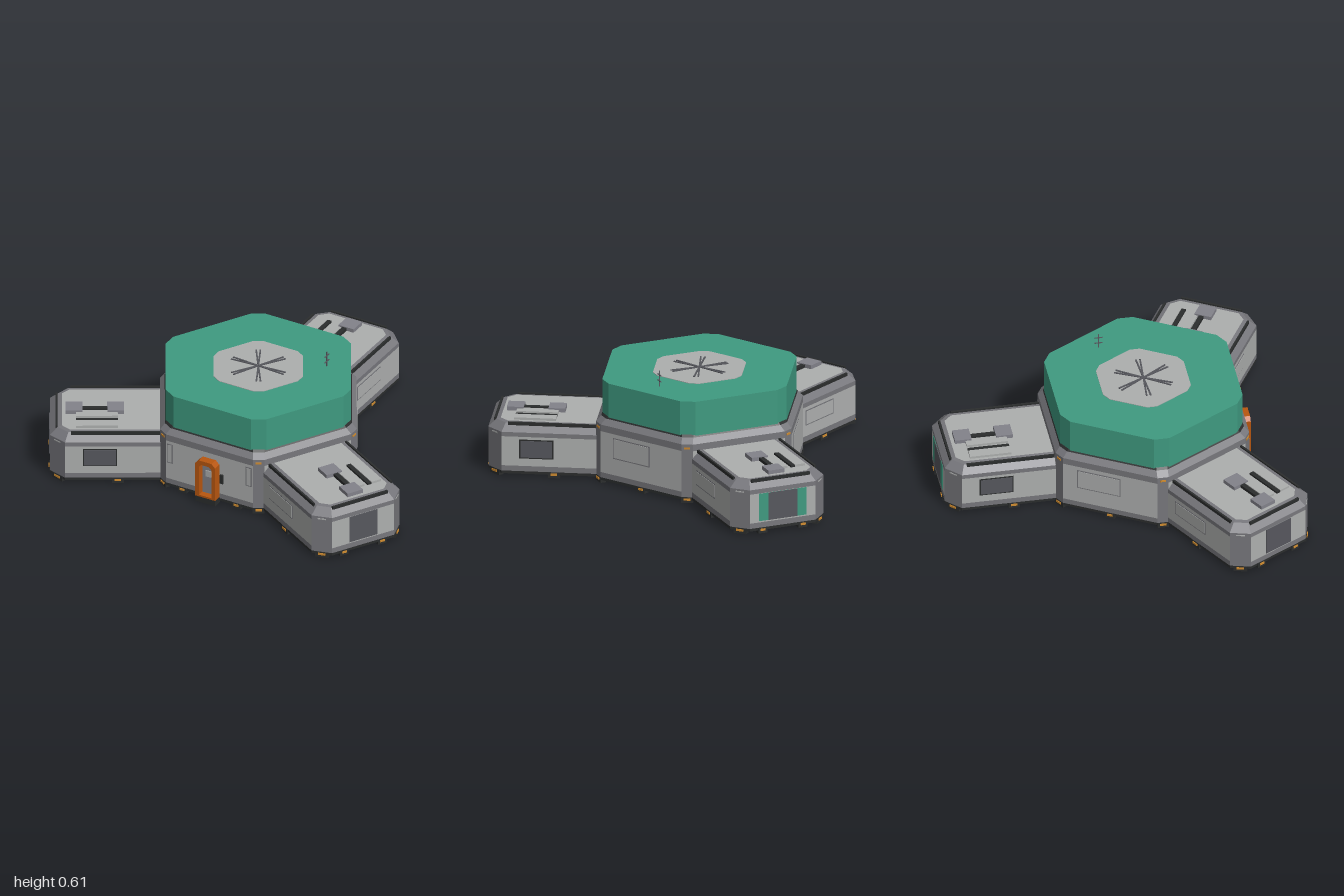
import * as THREE from 'three';

const paint = (name, color) => {
  const m = new THREE.MeshStandardMaterial({ color, flatShading: true });
  m.name = name;
  return m;
};
const M = {
  green: paint('green', 0x3f9a80),
  wall: paint('light grey', 0xadafae),
  frame: paint('frame grey', 0x77777c),
  unit: paint('unit grey', 0x82828a),
  glass: paint('dark glass', 0x56575d),
  black: paint('black', 0x2b2d2d),
  orange: paint('orange', 0xb8560f),
  amber: paint('amber', 0xd08c30),
};
const RAD = Math.PI / 180;

function add(parent, name, mat, geo) {
  const mesh = new THREE.Mesh(geo, mat);
  mesh.name = name;
  parent.add(mesh);
  return mesh;
}

function box(parent, name, mat, size, pos) {
  const mesh = add(parent, name, mat, new THREE.BoxGeometry(...size));
  mesh.position.set(...pos);
  return mesh;
}

// Box facing outward at an angle around the parent's centre, slid sideways by t
function facing(parent, name, mat, size, angle, dist, t, y) {
  const c = Math.cos(angle * RAD), s = Math.sin(angle * RAD);
  const mesh = box(parent, name, mat, size, [c * dist - s * t, y, s * dist + c * t]);
  mesh.rotation.y = Math.PI / 2 - angle * RAD;
  return mesh;
}

function soup(points) {
  const geo = new THREE.BufferGeometry();
  geo.setAttribute('position', new THREE.Float32BufferAttribute(points.flat(), 3));
  geo.computeVertexNormals();
  return geo;
}

// Strip of faces between two outlines; pick chooses which edges are built
function band(parent, name, mat, low, y0, high, y1, pick = () => true) {
  const tris = [];
  low.forEach((p, i) => {
    if (!pick(i)) return;
    const j = (i + 1) % low.length;
    const a = [p[0], y0, p[1]], b = [high[i][0], y1, high[i][1]];
    const c = [high[j][0], y1, high[j][1]], d = [low[j][0], y0, low[j][1]];
    tris.push(a, b, c, a, c, d);
  });
  add(parent, name, mat, soup(tris));
}

// Flat lid over a convex outline
function cap(parent, name, mat, pts, y, up) {
  const tris = [];
  for (let i = 1; i < pts.length - 1; i++) {
    const [j, k] = up ? [i + 1, i] : [i, i + 1];
    for (const q of [0, j, k]) tris.push([pts[q][0], y, pts[q][1]]);
  }
  add(parent, name, mat, soup(tris));
}

// Hexagon with trimmed corners, flat sides to front and back
function hexOutline(apothem, cut) {
  const pts = [], half = apothem / Math.sqrt(3) - cut;
  for (let k = 0; k < 6; k++) {
    const a = (30 + k * 60) * RAD, c = Math.cos(a), s = Math.sin(a);
    for (const t of [-half, half]) pts.push([c * apothem - s * t, s * apothem + c * t]);
  }
  return pts;
}

// Wing footprint with trimmed outer corners, running toward -z
function wingOutline(inset) {
  const w = 0.255 - inset, e = 1.045 - inset, c = 0.075 - inset * 0.586, s = -0.47;
  return [[-w, s], [-w, c - e], [c - w, -e], [w - c, -e], [w, c - e], [w, s]];
}

// Base, skirt and wall shared by the hub and the wings
function hull(g, outline, floorY, wallTop, rimTop, isCorner) {
  const out = outline(0), tucked = outline(0.018);
  cap(g, 'floor', M.green, tucked, floorY, false);
  band(g, 'baseEdge', M.black, tucked, floorY, out, 0.016);
  band(g, 'base', M.black, out, 0.016, out, 0.03);
  band(g, 'skirt', M.frame, out, 0.03, out, 0.058);
  band(g, 'wall', M.wall, out, 0.058, out, wallTop, i => !isCorner(i));
  band(g, 'cornerPost', M.frame, out, 0.058, out, wallTop, isCorner);
  band(g, 'rim', M.frame, out, wallTop, out, rimTop);
}

function clamp(g, angle, dist, t, width) {
  facing(g, 'baseClamp', M.black, [width, 0.03, 0.03], angle, dist - 0.012, t, 0.015);
  facing(g, 'baseLight', M.amber, [width * 0.55, 0.011, 0.006], angle, dist + 0.004, t, 0.019);
}

function framedPanel(g, w, h, angle, dist, t, y) {
  facing(g, 'panelFrame', M.frame, [w, h, 0.004], angle, dist, t, y);
  facing(g, 'panel', M.wall, [w - 0.012, h - 0.012, 0.008], angle, dist, t, y);
}

function makeHub() {
  const g = new THREE.Group();
  g.name = 'hub';
  const outline = i => hexOutline(0.493 - i, 0.033);
  hull(g, outline, 0.01, 0.275, 0.31, i => i % 2 === 1);
  band(g, 'shoulder', M.frame, outline(0), 0.31, outline(0.024), 0.338);
  band(g, 'shoulderSeam', M.black, outline(0.024), 0.338, outline(0.032), 0.35);

  // Tall green upper storey
  const top = hexOutline(0.465, 0.045);
  band(g, 'upperStorey', M.green, top, 0.345, top, 0.525);
  cap(g, 'upperRoof', M.green, top, 0.525, true);
  const pad = hexOutline(0.224, 0.03);
  band(g, 'roofPadEdge', M.wall, pad, 0.525, pad, 0.528);
  cap(g, 'roofPad', M.wall, pad, 0.528, true);
  for (let k = 0; k < 6; k++) {
    for (const tilt of [-4, 4]) {
      facing(g, 'fanBlade', M.glass, [0.008, 0.005, 0.15], k * 60 + tilt, 0.077, 0, 0.53);
    }
    // Corner lights and clamps
    clamp(g, k * 60, 0.552, 0, 0.06);
    facing(g, 'cornerLight', M.amber, [0.03, 0.01, 0.006], k * 60, 0.553, 0, 0.29);
  }
  for (const a of [-30, 90, 210]) {
    for (const t of [-0.13, 0.13]) clamp(g, a, 0.493, t * (a === 90 ? 1.2 : 0), 0.05);
  }
  for (const a of [-30, 210]) framedPanel(g, 0.23, 0.11, a, 0.493, 0.06, 0.2);
  for (const t of [-0.228, 0.228]) framedPanel(g, 0.034, 0.11, 90, 0.493, t, 0.205);

  // Antenna
  box(g, 'antennaMast', M.glass, [0.005, 0.085, 0.005], [0.295, 0.565, -0.175]);
  for (const y of [0.553, 0.585]) {
    box(g, 'antennaBar', M.glass, [0.005, 0.004, 0.042], [0.295, y, -0.175]);
  }
  return g;
}

function makeDoor() {
  const g = new THREE.Group();
  g.name = 'door';
  const arch = (w, y0, y1, c) => [[-w, y0], [w, y0], [w, y1 - c], [w - c, y1], [c - w, y1], [-w, y1 - c]]
    .map(p => new THREE.Vector2(...p));
  const shape = new THREE.Shape(arch(0.057, 0.035, 0.245, 0.02));
  shape.holes.push(new THREE.Path(arch(0.036, 0.045, 0.222, 0.014)));
  const frame = new THREE.ExtrudeGeometry(shape, { depth: 0.055, bevelEnabled: false });
  add(g, 'doorFrame', M.orange, frame).position.z = 0.482;
  box(g, 'doorLeaf', M.unit, [0.075, 0.19, 0.02], [0, 0.135, 0.492]);
  box(g, 'doorWindow', M.wall, [0.032, 0.035, 0.005], [0, 0.16, 0.504]);
  box(g, 'doorStep', M.black, [0.114, 0.034, 0.05], [0, 0.02, 0.51]);
  box(g, 'doorKeypad', M.black, [0.018, 0.05, 0.012], [0.073, 0.147, 0.497]);
  return g;
}

function makeWing(greenEnd) {
  const g = new THREE.Group();
  g.name = 'wing';
  hull(g, wingOutline, 0.012, 0.212, 0.235, i => i === 1 || i === 3);
  // Roof with sloping edge, black seams and pale centre
  band(g, 'roofSlope', M.frame, wingOutline(0), 0.235, wingOutline(0.04), 0.272);
  band(g, 'roofBorder', M.frame, wingOutline(0.04), 0.272, wingOutline(0.06), 0.276);
  cap(g, 'roof', M.wall, wingOutline(0.06), 0.276, true);
  for (const a of [0, 180]) {
    const d = a ? 0.71 : -0.71;
    facing(g, 'roofSeam', M.black, [0.46, 0.016, 0.011], a, 0.222, d, 0.271);
  }
  facing(g, 'roofSeam', M.black, [0.32, 0.016, 0.011], -90, 1.012, 0, 0.271);

  // Roof equipment
  box(g, 'roofUnit', M.wall, [0.055, 0.014, 0.21], [-0.152, 0.281, -0.81]);
  box(g, 'roofVent', M.black, [0.022, 0.012, 0.21], [-0.112, 0.28, -0.81]);
  box(g, 'roofUnit', M.wall, [0.055, 0.014, 0.21], [-0.055, 0.281, -0.81]);
  box(g, 'roofPipe', M.black, [0.024, 0.016, 0.14], [-0.008, 0.284, -0.82]);
  for (const d of [0.715, 0.925]) {
    box(g, 'roofBox', M.unit, [0.088, 0.02, 0.085], [0, 0.286, -d]);
  }

  // Windows and wall panels
  facing(g, 'sideWindowFrame', M.black, [0.172, 0.1, 0.004], 180, 0.255, 0.795, 0.148);
  facing(g, 'sideWindow', M.glass, [0.16, 0.088, 0.008], 180, 0.255, 0.795, 0.148);
  framedPanel(g, 0.235, 0.08, 0, 0.255, -0.665, 0.155);
  if (greenEnd) facing(g, 'endPanel', M.green, [0.26, 0.145, 0.004], -90, 1.045, 0, 0.138);
  facing(g, 'endWindow', M.glass, [0.16, 0.145, 0.008], -90, 1.045, 0, 0.138);

  // Clamps and markers along the foot
  for (const s of [-1, 1]) {
    clamp(g, -90 + s * 45, 0.866, -s * 0.5586, 0.07);
    facing(g, 'cornerMarker', M.wall, [0.045, 0.006, 0.005], -90 + s * 45, 0.866, -s * 0.5586, 0.222);
    clamp(g, s > 0 ? 0 : 180, 0.255, -s * 0.705, 0.06);
    clamp(g, -90, 1.045, s * 0.11, 0.05);
  }
  return g;
}

export function createModel() {
  const model = new THREE.Group();
  model.name = 'outpost';
  const station = new THREE.Group();
  station.name = 'station';
  station.position.z = 0.165;
  station.add(makeHub(), makeDoor());
  for (let k = 0; k < 3; k++) {
    const wing = makeWing(k === 0);
    wing.rotation.y = k * 120 * RAD;
    station.add(wing);
  }
  model.add(station);
  return model;
}
